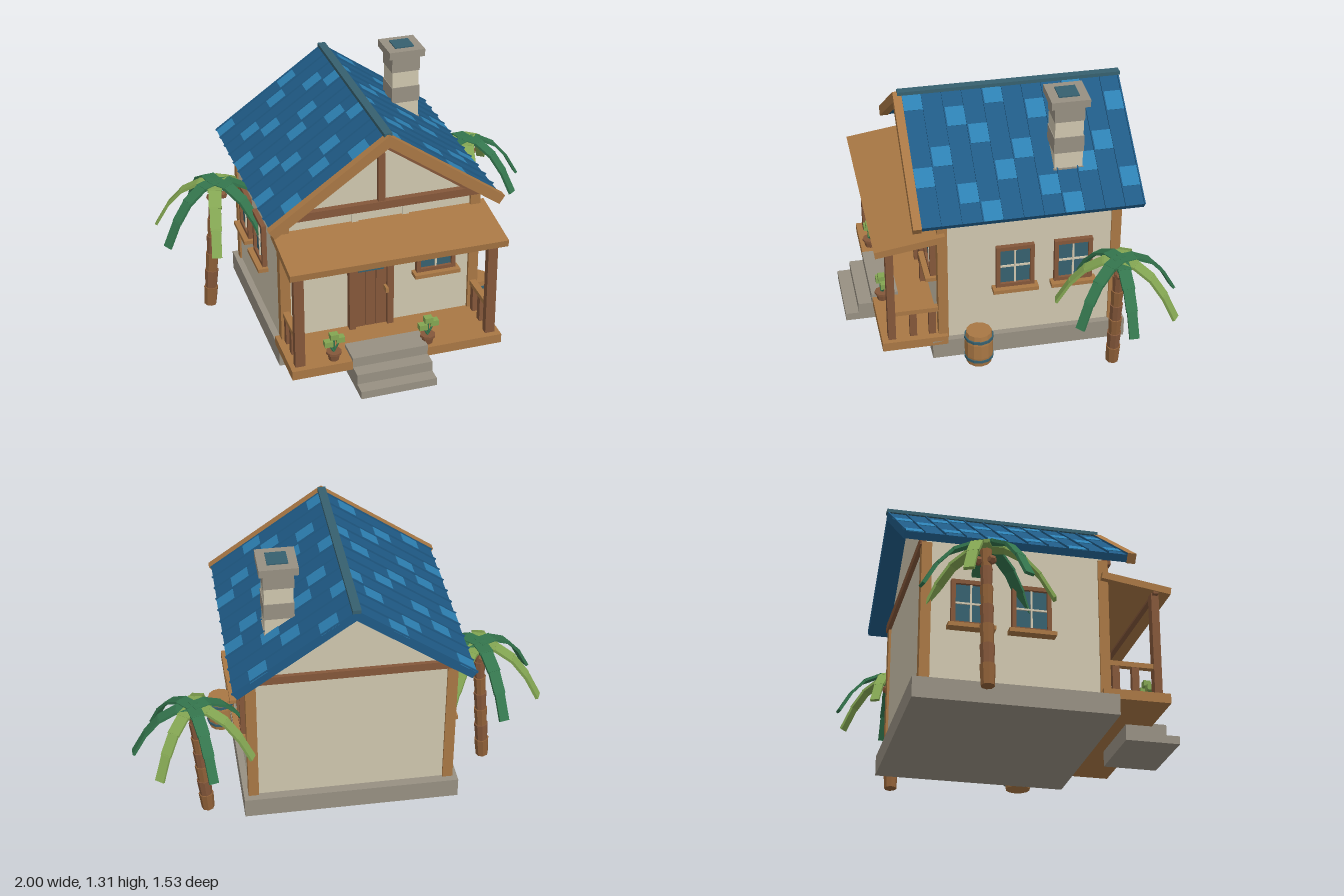
import * as THREE from 'three';

const paint = (name, color) => {
  const m = new THREE.MeshStandardMaterial({ color });
  m.name = name;
  return m;
};

export function createModel() {
  const M = {
    wall: paint('plaster', 0xcfc6ae),
    stone: paint('stone', 0x979082),
    tan: paint('light timber', 0xa87744),
    brown: paint('dark timber', 0x84573a),
    bark: paint('bark', 0x8f6038),
    roof: paint('roof blue', 0x1f5a85),
    tile: paint('light tile blue', 0x2d80b2),
    teal: paint('glass teal', 0x36606f),
    green: paint('deep green', 0x34754d),
    lime: paint('light green', 0x83a552),
  };
  const root = new THREE.Group();
  const CX = -0.037; // house centre line

  const group = (name, parent = root) => {
    const g = new THREE.Group();
    g.name = name;
    parent.add(g);
    return g;
  };
  const add = (parent, name, geo, mat, x = 0, y = 0, z = 0) => {
    const m = new THREE.Mesh(geo, mat);
    m.name = name;
    m.position.set(x, y, z);
    parent.add(m);
    return m;
  };
  // Box given by its minimum and maximum corners
  const span = (parent, name, mat, x0, x1, y0, y1, z0, z1) =>
    add(parent, name, new THREE.BoxGeometry(x1 - x0, y1 - y0, z1 - z0), mat,
      (x0 + x1) / 2, (y0 + y1) / 2, (z0 + z1) / 2);
  // Faceted cylinder
  const drum = (rTop, rBottom, h, sides) => {
    const g = new THREE.CylinderGeometry(rTop, rBottom, h, sides).toNonIndexed();
    g.computeVertexNormals();
    return g;
  };

  // Foundation and gabled walls
  const house = group('house');
  span(house, 'foundation', M.stone, -0.562, 0.488, 0, 0.1, -0.575, 0.38);
  const outline = new THREE.Shape([[-0.493, 0.1], [0.493, 0.1], [0.493, 0.81], [0, 1.155], [-0.493, 0.81]]
    .map(([x, y]) => new THREE.Vector2(x, y)));
  add(house, 'walls', new THREE.ExtrudeGeometry(outline, { depth: 0.86, bevelEnabled: false }), M.wall, CX, 0, -0.53);
  for (const s of [-1, 1]) {
    const x = CX + s * 0.477;
    for (const z of [-0.518, 0.322])
      span(house, 'cornerPost', M.tan, x - 0.025, x + 0.025, 0.1, 0.785, z - 0.024, z + 0.024);
    span(house, 'wallBatten', M.wall, CX + s * 0.125 - 0.016, CX + s * 0.125 + 0.016, 0.62, 0.77, 0.33, 0.338);
  }

  // Gable timbers
  span(house, 'backTieBeam', M.brown, CX - 0.5, CX + 0.5, 0.77, 0.81, -0.55, -0.52);
  span(house, 'frontTieBeam', M.brown, CX - 0.5, CX + 0.5, 0.77, 0.81, 0.32, 0.362);
  span(house, 'kingPost', M.brown, CX - 0.017, CX + 0.017, 0.81, 1.06, 0.325, 0.355);

  // Two roof slopes: local x runs down the slope, tiles are thin plates
  const SLOPE = 0.611, LEN = 0.695, ROWS = 11, Z0 = -0.635, Z1 = 0.43;
  const step = (Z1 - Z0) / ROWS, tileLen = LEN / 7;
  const lightTile = { 1: [0, 3, 1, 2], '-1': [1, 3, 2, 0] };
  for (const s of [1, -1]) {
    const side = group(s > 0 ? 'leftRoof' : 'rightRoof');
    side.position.set(CX, 1.2, 0);
    side.rotation.y = s > 0 ? 0 : Math.PI;
    const r = group('slope', side);
    r.rotation.z = -SLOPE;
    const piece = (name, mat, x0, x1, y0, y1, za, zb) =>
      span(r, name, mat, x0, x1, y0, y1, Math.min(s * za, s * zb), Math.max(s * za, s * zb));
    piece('roofSlab', M.roof, 0, LEN, -0.042, -0.006, Z0, Z1);
    for (let i = 0; i < ROWS; i++) {
      const front = Z1 - i * step;
      piece('roofSeam', M.roof, 0, LEN + 0.003, -0.008, 0.003, front - 0.006, front);
      for (let t = lightTile[s][i % 4]; t < 7; t += 4)
        piece('lightTile', M.tile, t * tileLen, (t + 1) * tileLen, -0.008, -0.003, front - step, front - 0.006);
    }
    piece('backSeam', M.roof, 0, LEN + 0.003, -0.008, 0.003, Z0, Z0 + 0.006);
    piece('bargeboard', M.tan, 0, LEN + 0.008, -0.045, 0.004, 0.425, 0.466);
    piece('trussRafter', M.brown, 0.045, 0.575, -0.083, -0.056, 0.325, 0.36);
  }
  span(root, 'ridgeCap', M.teal, CX - 0.02, CX + 0.02, 1.19, 1.208, -0.64, 0.445);

  // Chimney of alternating courses
  const chimney = group('chimney');
  chimney.position.set(0.28, 0, -0.304);
  for (let i = 0; i < 5; i++) {
    const w = i % 2 ? 0.136 : 0.144;
    add(chimney, 'course', new THREE.BoxGeometry(w, 0.083, w), i % 2 ? M.wall : M.stone, 0, 1.219 - i * 0.083, 0);
  }
  add(chimney, 'chimneyCap', new THREE.BoxGeometry(0.184, 0.038, 0.184), M.stone, 0, 1.277, 0);
  add(chimney, 'flue', new THREE.BoxGeometry(0.098, 0.008, 0.098), M.teal, 0, 1.298, 0);

  // Windows face local +z, origin at the pane centre
  const makeWindow = (x, y, z, turn, w, h) => {
    const g = group('window');
    g.position.set(x, y, z);
    g.rotation.y = turn;
    const a = w / 2, b = h / 2, f = 0.02;
    for (const s of [-1, 1]) {
      add(g, 'frameSide', new THREE.BoxGeometry(f, h, 0.03), M.brown, s * (a - f / 2), 0, 0.008);
      add(g, 'frameRail', new THREE.BoxGeometry(w - 2 * f, f, 0.03), M.brown, 0, s * (b - f / 2), 0.008);
    }
    add(g, 'glass', new THREE.BoxGeometry(w - f, h - f, 0.008), M.teal, 0, 0, 0.004);
    add(g, 'muntinUpright', new THREE.BoxGeometry(0.009, h - 2 * f, 0.009), M.wall, 0, 0, 0.011);
    add(g, 'muntinBar', new THREE.BoxGeometry(w - 2 * f, 0.009, 0.008), M.wall, 0, 0, 0.011);
    add(g, 'sill', new THREE.BoxGeometry(w + 0.035, 0.02, 0.06), M.tan, 0, -b - 0.008, 0.02);
  };
  makeWindow(0.241, 0.497, 0.34, 0, 0.198, 0.228);
  for (const s of [-1, 1])
    for (const z of [-0.026, -0.31]) makeWindow(CX + s * 0.494, 0.487, z, s * Math.PI / 2, 0.186, 0.23);

  // Door
  const door = group('door');
  for (const x of [-0.186, 0.006]) span(door, 'doorJamb', M.brown, x - 0.016, x + 0.016, 0.125, 0.63, 0.32, 0.368);
  span(door, 'doorLintel', M.brown, -0.202, 0.022, 0.605, 0.635, 0.32, 0.368);
  for (let i = 0; i < 3; i++)
    span(door, 'doorPlank', M.brown, -0.17 + i * 0.054, -0.119 + i * 0.054, 0.125, 0.605, 0.325, 0.35);
  span(door, 'doorPane', M.teal, -0.154, -0.026, 0.437, 0.593, 0.348, 0.356);
  span(door, 'doorHandle', M.tan, -0.025, -0.012, 0.32, 0.345, 0.35, 0.392);

  // Porch deck, posts, railings, roof and steps
  const porch = group('porch');
  span(porch, 'deck', M.tan, -0.562, 0.488, 0.078, 0.125, 0.305, 0.623);
  for (const s of [-1, 1]) {
    const x = CX + s * 0.477;
    span(porch, 'porchPost', M.brown, x - 0.024, x + 0.024, 0.125, 0.645, 0.555, 0.592);
    span(porch, 'handrail', M.tan, x - 0.016, x + 0.016, 0.256, 0.28, 0.34, 0.56);
    for (const z of [0.375, 0.468])
      span(porch, 'baluster', M.brown, x - 0.014, x + 0.014, 0.125, 0.258, z - 0.017, z + 0.017);
  }
  const canopy = add(porch, 'porchRoof', new THREE.BoxGeometry(1.062, 0.035, 0.338), M.tan, CX, 0.672, 0.477);
  canopy.rotation.x = 0.147;
  span(porch, 'porchBeam', M.brown, -0.562, 0.488, 0.63, 0.655, 0.56, 0.585);
  [[0.04, 0.76], [0.092, 0.695], [0.142, 0.627]].forEach(([top, front], i, all) =>
    span(porch, 'step', M.stone, -0.267, 0.108, i ? all[i - 1][0] : 0, top, 0.495, front));

  // Potted plants
  for (const x of [-0.345, 0.125]) {
    const pot = group('pottedPlant');
    pot.position.set(x, 0.125, 0.575);
    add(pot, 'pot', drum(0.033, 0.025, 0.04, 8), M.brown, 0, 0.02, 0);
    add(pot, 'potRim', drum(0.038, 0.038, 0.012, 8), M.brown, 0, 0.04, 0);
    [[0, 0.13, 0.002], [-0.03, 0.1, 0.01], [0.033, 0.105, -0.006]].forEach(([lx, ly, lz]) => {
      const stem = add(pot, 'stem', drum(0.005, 0.005, Math.hypot(lx, ly - 0.04), 5), M.green, lx / 2, (ly + 0.04) / 2, lz / 2);
      stem.rotation.z = -Math.atan2(lx, ly - 0.04);
      add(pot, 'leaf', new THREE.BoxGeometry(0.04, 0.028, 0.034), M.lime, lx, ly, lz);
    });
  }

  // Barrel with staves bulging at the middle
  const barrel = group('barrel');
  barrel.position.set(0.535, 0, 0.163);
  const bulge = new THREE.LatheGeometry(
    [[0, 0], [0.062, 0], [0.07, 0.05], [0.07, 0.125], [0.062, 0.176], [0, 0.176]].map(p => new THREE.Vector2(...p)), 12).toNonIndexed();
  bulge.computeVertexNormals();
  add(barrel, 'staves', bulge, M.tan);
  for (const y of [0.033, 0.145]) add(barrel, 'hoop', drum(0.072, 0.072, 0.014, 12), M.teal, 0, y, 0);

  // Palms: leaning segmented trunk and seven arched fronds
  const arch = [[0, 0.006], [0.08, 0.002], [0.165, -0.045], [0.235, -0.125], [0.298, -0.236]];
  const palm = (x0, x1, z, h, size) => {
    const g = group('palm');
    const n = 7, lean = Math.atan2(x1 - x0, h);
    for (let i = 0; i < n; i++) {
      const t = (i + 0.5) / n, r = 0.035 - 0.009 * t;
      const seg = add(g, 'trunkSegment', drum(r + 0.002, r - 0.003, h / n + 0.004, 8), i % 2 ? M.brown : M.bark,
        x0 + (x1 - x0) * t, h * t, z);
      seg.rotation.z = -lean;
    }
    const crown = group('crown', g);
    crown.position.set(x1, h, z);
    crown.scale.setScalar(size);
    for (let i = 0; i < 3; i++) {
      const a = i * 2.1 + 0.4;
      add(crown, 'coconut', new THREE.DodecahedronGeometry(0.022), M.brown, 0.035 * Math.cos(a), -0.06, 0.035 * Math.sin(a));
    }
    for (let i = 0; i < 7; i++) {
      const frond = group('frond', crown);
      frond.rotation.y = -i * Math.PI * 2 / 7;
      frond.position.y = (i % 2) * 0.004;
      for (let k = 0; k < 4; k++) {
        const [ax, ay] = arch[k], [bx, by] = arch[k + 1];
        const leaf = add(frond, 'frondSegment',
          new THREE.BoxGeometry(Math.hypot(bx - ax, by - ay) + 0.008, 0.014, 0.068 - k * 0.007),
          i && i % 2 === 0 ? M.lime : M.green, (ax + bx) / 2, (ay + by) / 2, 0);
        leaf.rotation.z = Math.atan2(by - ay, bx - ax);
      }
    }
  };
  palm(-0.755, -0.7, -0.275, 0.688, 1.03);
  palm(0.66, 0.706, -0.472, 0.615, 0.97);
  return root;
}
